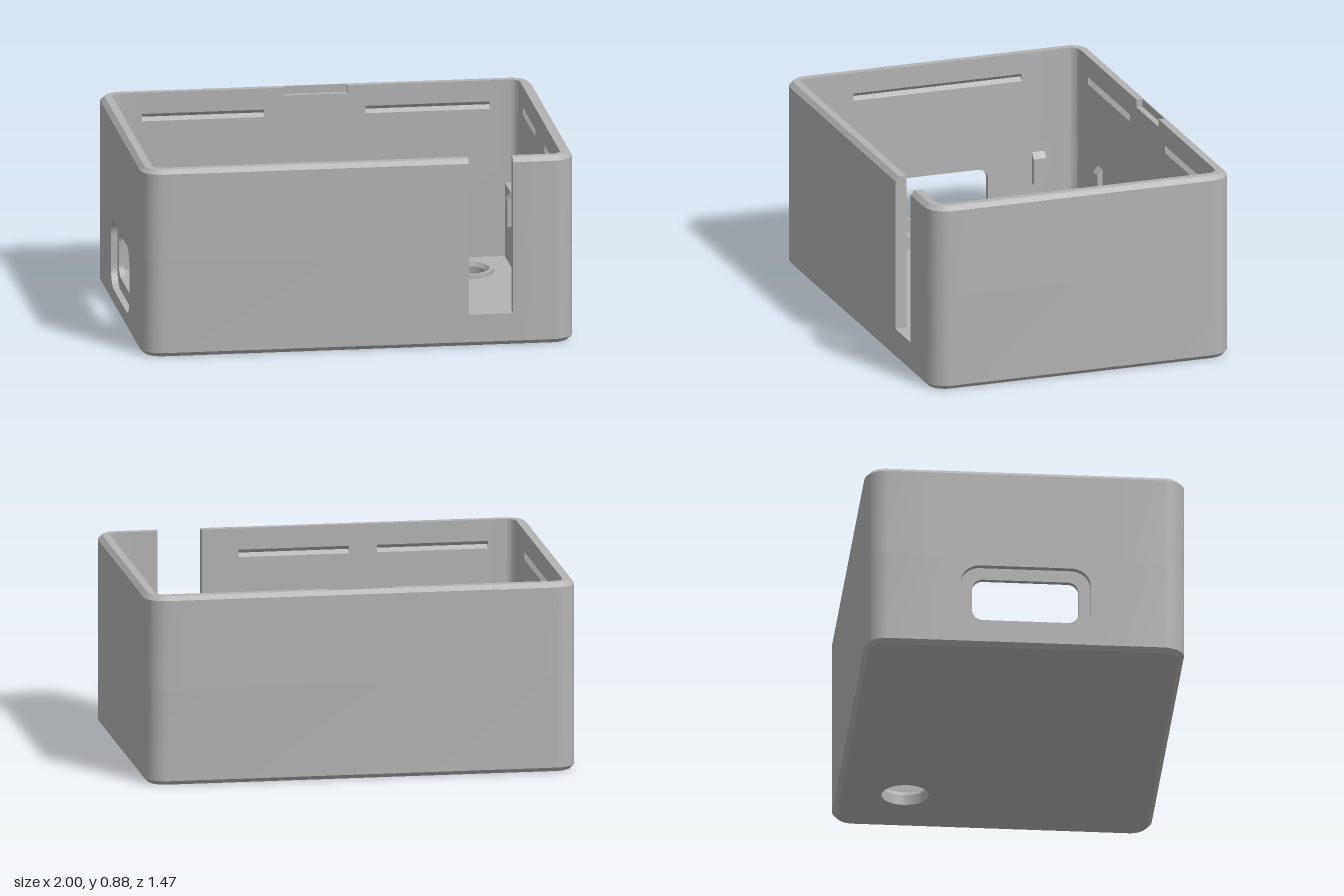
import * as THREE from 'three';
import { toCreasedNormals } from 'three/addons/utils/BufferGeometryUtils.js';

const HX = 1, HZ = 0.735, R = 0.1, WALL = 0.055, TOP = 0.885, SPLIT = 0.45, FLOOR = 0.05;

// Walk round the box (front, right, back, left); each side lists [from, to, feature] along its direction.
function perimeter(sides) {
  const stations = [];
  for (let k = 0; k < 4; k++) {
    const a = k * Math.PI / 2;
    const len = (k % 2 ? HZ : HX) - R, dist = (k % 2 ? HX : HZ) - R;
    const add = (t, ang, feature) => stations.push({
      x: Math.sin(a) * dist + Math.cos(a) * t,
      z: Math.cos(a) * dist - Math.sin(a) * t,
      nx: Math.sin(ang), nz: Math.cos(ang), feature,
    });
    for (const [from, to, feature] of sides[k]) {
      add(from, a, '');
      add(from, a, feature);
      add(to, a, feature);
      add(to, a, '');
    }
    // rounded corner
    for (let i = 0; i <= 8; i++) add(len, a + (i / 8) * Math.PI / 2, '');
  }
  stations.push(stations[0]);
  return stations;
}

// Sweep a closed [inset, y] profile, which may change from station to station.
function sweep(sides, profile) {
  const stations = perimeter(sides), pos = [];
  const rings = stations.map(s => profile(s.feature).map(([d, y]) =>
    new THREE.Vector3(s.x + s.nx * (R - d), y, s.z + s.nz * (R - d))));
  const tri = (a, b, c) => {
    const area = b.clone().sub(a).cross(c.clone().sub(a)).length();
    if (area > 1e-9) for (const v of [a, b, c]) pos.push(v.x, v.y, v.z);
  };
  for (let i = 0; i + 1 < rings.length; i++) {
    if (stations[i].feature === 'open' && stations[i + 1].feature === 'open') continue;
    const p = rings[i], q = rings[i + 1], n = p.length;
    for (let j = 0; j < n; j++) {
      const k = (j + 1) % n;
      tri(p[j], q[j], q[k]);
      tri(p[j], q[k], p[k]);
    }
  }
  const g = new THREE.BufferGeometry();
  g.setAttribute('position', new THREE.Float32BufferAttribute(pos, 3));
  return toCreasedNormals(g, 0.5);
}

function roundRect(hw, hh, r, cx = 0, cy = 0, C = THREE.Shape) {
  const s = new C(), q = Math.PI / 2;
  s.absarc(cx + hw - r, cy + hh - r, r, 0, q);
  s.absarc(cx - hw + r, cy + hh - r, r, q, 2 * q);
  s.absarc(cx - hw + r, cy - hh + r, r, 2 * q, 3 * q);
  s.absarc(cx + hw - r, cy - hh + r, r, 3 * q, 4 * q);
  s.closePath();
  return s;
}

function extrude(shape, depth) {
  const g = new THREE.ExtrudeGeometry(shape, { depth, bevelEnabled: false, curveSegments: 10 });
  return toCreasedNormals(g, 0.5);
}

export function createModel() {
  const group = new THREE.Group();
  const grey = new THREE.MeshStandardMaterial({ color: 0xb3b3b3 });
  grey.name = 'grey plastic';
  const add = (name, geometry) => {
    const m = new THREE.Mesh(geometry, grey);
    m.name = name;
    group.add(m);
    return m;
  };
  const box = (name, x0, x1, y0, y1, z0, z1) => add(name, new THREE.BoxGeometry(x1 - x0, y1 - y0, z1 - z0))
    .position.set((x0 + x1) / 2, (y0 + y1) / 2, (z0 + z1) / 2);

  // lower walls, lowered at the front cutout and under the port panel
  const PORT = 0.33, SILL = 0.04;
  add('lowerWalls', sweep([[[0.51, 0.715, 'cutout']], [], [], [[-PORT, PORT, 'port']]], f => {
    const y = f === 'cutout' ? 0.15 : f === 'port' ? SILL : SPLIT;
    return [[0.02, 0], [0, 0.02], [0, y], [WALL, y], [WALL, 0]];
  }));

  // upper walls with lid grooves, pry notch and open cutout
  const upper = [
    [[-0.82, -0.305, 'groove'], [-0.175, 0.34, 'groove'], [0.51, 0.715, 'open']],
    [[-0.55, -0.145, 'groove'], [0.145, 0.55, 'groove']],
    [[-0.81, -0.235, 'groove'], [-0.15, 0.145, 'notch'], [0.235, 0.8, 'groove']],
    [[-0.41, 0.41, 'groove']],
  ];
  add('upperWalls', sweep(upper, f => {
    const a = f === 'notch' ? 0.026 : WALL, g = f === 'groove' ? 0.036 : WALL;
    const p = [[0, SPLIT], [0, TOP - 0.02], [0.02, TOP], [a, TOP], [a, 0.848], [WALL, 0.848],
      [WALL, 0.785], [g, 0.767], [WALL, 0.75], [WALL, SPLIT]];
    return f === 'open' ? p.map(([d]) => [d, SPLIT]) : p;
  }));

  // port panel in two layers: wide recess outside, smaller window inside
  const layers = [['portWindow', 0.945, 0.025, 0.245, 0.102, 0.05], ['portRecess', 0.97, 0.03, 0.3, 0.16, 0.09]];
  for (const [name, start, depth, hw, hh, r] of layers) {
    const s = new THREE.Shape([[-PORT, SILL], [PORT, SILL], [PORT, SPLIT], [-PORT, SPLIT]]
      .map(([x, y]) => new THREE.Vector2(x, y)));
    s.holes.push(roundRect(hw, hh, r, 0, 0.243, THREE.Path));
    add(name, extrude(s, depth).translate(0, 0, start).rotateY(-Math.PI / 2));
  }

  // floor with round hole
  const floor = roundRect(HX - WALL, HZ - WALL, R - WALL);
  floor.holes.push(new THREE.Path().absarc(0.65, 0.42, 0.108, 0, Math.PI * 2));
  const fg = new THREE.ExtrudeGeometry(floor, { depth: FLOOR, bevelEnabled: false, curveSegments: 24 });
  add('floor', toCreasedNormals(fg, 0.5).rotateX(-Math.PI / 2));

  // low flared collar round the hole
  const collar = [[0.14, FLOOR], [0.14, 0.07], [0.12, 0.07], [0.108, FLOOR]].map(([x, y]) => new THREE.Vector2(x, y));
  add('holeCollar', toCreasedNormals(new THREE.LatheGeometry(collar, 48), 0.5)).position.set(0.65, 0, -0.42);

  // step along the right wall and floor rails
  box('sideStep', 0.88, 0.95, 0.04, 0.398, -0.685, 0.685);
  for (const x of [-0.83, 0.3]) box('floorRail', x - 0.03, x + 0.03, 0.04, 0.112, -0.472, 0.465);

  // small board clips with sloped tops
  const clip = new THREE.Shape([[-0.005, 0.25], [0.024, 0.25], [0.024, 0.372], [0, 0.4], [-0.005, 0.4]]
    .map(([x, y]) => new THREE.Vector2(x, y)));
  const clipGeo = extrude(clip, 0.06).translate(0, 0, -0.03);
  const q = Math.PI / 2;
  const clips = [
    [-0.635, -0.68, -q], [0.055, -0.68, -q], [-0.635, 0.68, q], [0.055, 0.68, q],
    [-0.945, -0.49, 0], [-0.945, 0.53, 0], [0.88, -0.465, 2 * q], [0.88, 0.275, 2 * q],
  ];
  for (const [x, z, turn] of clips) {
    const m = add('boardClip', clipGeo);
    m.position.set(x, 0, z);
    m.rotation.y = turn;
  }
  return group;
}
